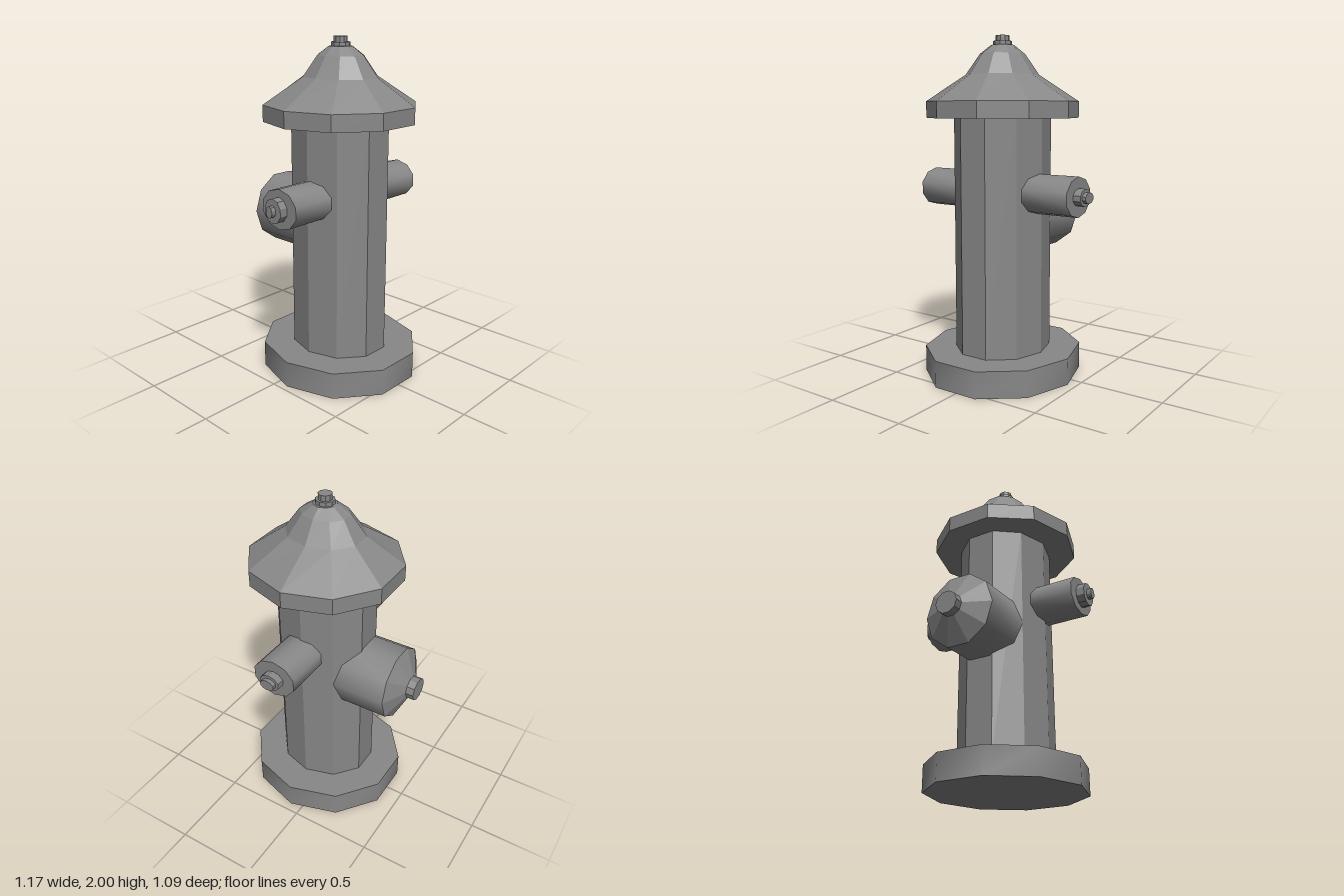
import * as THREE from 'three';
import { mergeGeometries } from 'three/addons/utils/BufferGeometryUtils.js';

const SIDES = 10;

// Closed ten-sided loft along y; each ring is [y, radiusX, radiusZ]
function loft(rings, smooth) {
  const side = [], index = [], caps = [];
  const point = ([y, rx, rz], i) => {
    const a = (i % SIDES) / SIDES * Math.PI * 2;
    return [rx * Math.cos(a), y, rz * Math.sin(a)];
  };
  rings.forEach((ring, k) => {
    for (let i = 0; i < SIDES; i++) {
      side.push(...point(ring, i));
      if (k === 0) continue;
      const j = (i + 1) % SIDES, lo = (k - 1) * SIDES, hi = k * SIDES;
      index.push(lo + i, hi + i, lo + j, lo + j, hi + i, hi + j);
    }
  });
  const first = rings[0], last = rings[rings.length - 1];
  for (let i = 0; i < SIDES; i++) {
    caps.push(0, first[0], 0, ...point(first, i), ...point(first, i + 1));
    caps.push(0, last[0], 0, ...point(last, i + 1), ...point(last, i));
  }
  let wall = new THREE.BufferGeometry();
  wall.setAttribute('position', new THREE.Float32BufferAttribute(side, 3));
  wall.setIndex(index);
  if (smooth) wall.computeVertexNormals();
  wall = wall.toNonIndexed();
  if (!smooth) wall.computeVertexNormals();
  const ends = new THREE.BufferGeometry();
  ends.setAttribute('position', new THREE.Float32BufferAttribute(caps, 3));
  ends.computeVertexNormals();
  return mergeGeometries([wall, ends]);
}

export function createModel() {
  const iron = new THREE.MeshStandardMaterial({ color: 0x888888 });
  iron.name = 'grey iron';
  const model = new THREE.Group();
  model.name = 'hydrant';

  function part(parent, name, rings, smooth = false) {
    const mesh = new THREE.Mesh(loft(rings, smooth), iron);
    mesh.name = name;
    parent.add(mesh);
  }
  function group(name, x, y, z) {
    const g = new THREE.Group();
    g.name = name;
    g.position.set(x, y, z);
    model.add(g);
    return g;
  }

  // Upright column with base flange, bonnet and top nut
  const column = group('column', -0.0075, 0, 0.077);
  part(column, 'base', [[0, 0.4575, 0.491], [0.157, 0.4575, 0.491]], true);
  part(column, 'barrel', [[0.15, 0.2725, 0.305], [1.54, 0.2725, 0.305]]);
  part(column, 'bonnet', [
    [1.53, 0.443, 0.451], [1.625, 0.443, 0.451], [1.777, 0.203, 0.234],
    [1.895, 0.123, 0.147], [1.945, 0.068, 0.068],
  ]);
  part(column, 'topNutCollar', [[1.935, 0.055, 0.055], [1.968, 0.055, 0.055]]);
  part(column, 'topNut', [[1.96, 0.04, 0.04], [2, 0.04, 0.04]]);

  // Side outlets: local y points outwards, local x is vertical
  const outlets = [
    { name: 'leftOutlet', dir: 1, end: 0.515, nut: [0.56, 0.05, 0.064], tip: [0.583, 0.032, 0.045] },
    { name: 'rightOutlet', dir: -1, end: 0.512, nut: [0.56, 0.071, 0.064], tip: [0.587, 0.034, 0.025] },
  ];
  for (const { name, dir, end, nut, tip } of outlets) {
    const outlet = group(name, 0, 1.1, 0.093);
    outlet.rotation.z = -dir * Math.PI / 2;
    part(outlet, name + 'Pipe', [[0.2, 0.115, 0.136], [end, 0.115, 0.136]], true);
    part(outlet, name + 'Nut', [[end - 0.01, nut[1], nut[2]], nut]);
    part(outlet, name + 'Tip', [[nut[0] - 0.01, tip[1], tip[2]], tip]);
  }

  // Large rear outlet: local y points backwards
  const rear = group('rearOutlet', -0.009, 0.925, 0);
  rear.rotation.x = -Math.PI / 2;
  part(rear, 'rearPipe', [[0.05, 0.221, 0.221], [0.427, 0.221, 0.221]], true);
  part(rear, 'rearCap', [[0.427, 0.221, 0.221], [0.499, 0.07, 0.068]]);
  part(rear, 'rearNut', [[0.49, 0.07, 0.067], [0.547, 0.07, 0.067]]);

  return model;
}
